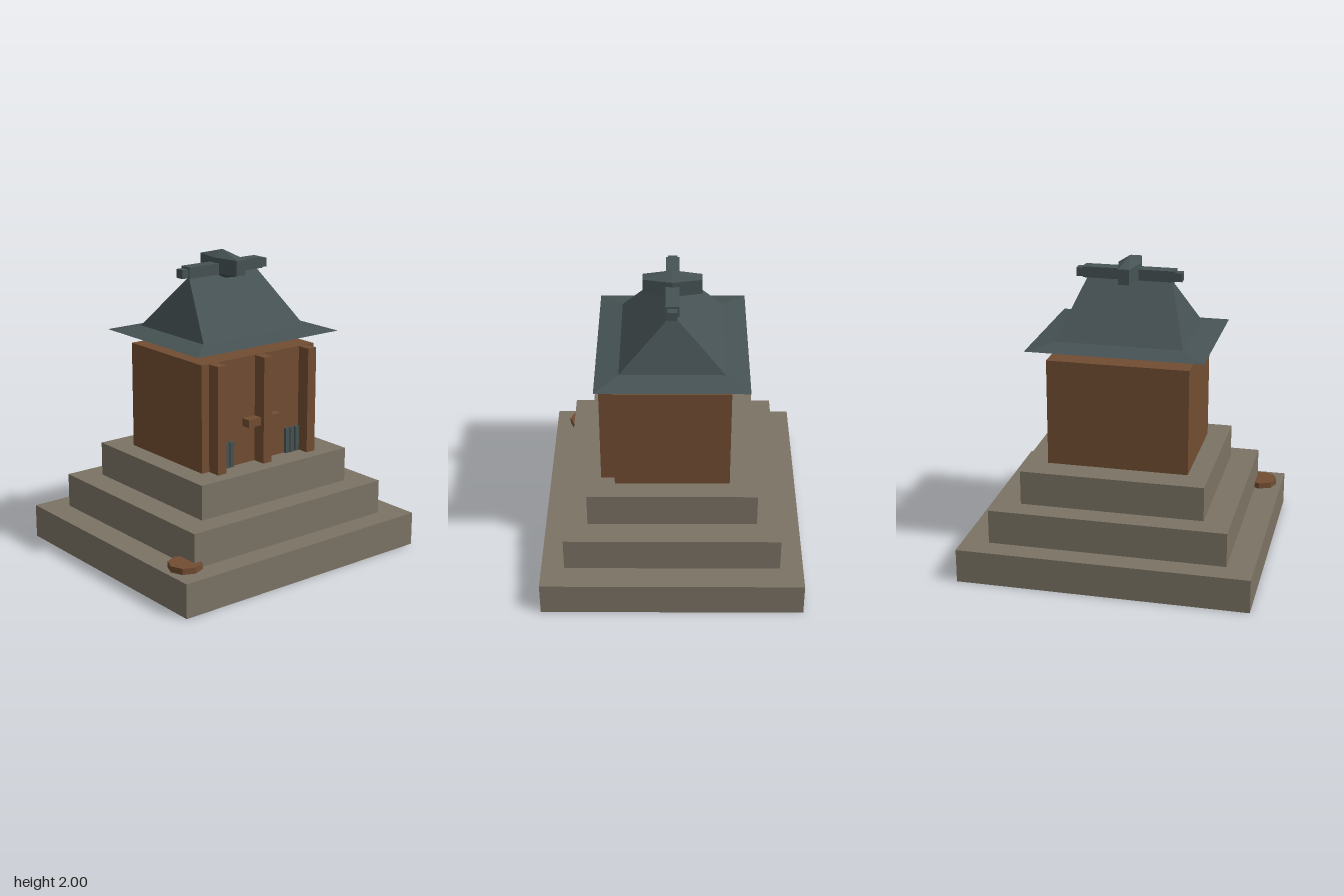
import * as THREE from 'three';
import { ConvexGeometry } from 'three/addons/geometries/ConvexGeometry.js';

function makeMaterial(name, color) {
  const m = new THREE.MeshStandardMaterial({ color, flatShading: true, side: THREE.DoubleSide });
  m.name = name;
  return m;
}

export function createModel() {
  const group = new THREE.Group();
  const stone = makeMaterial('stone', 0x7b7364);
  const wood = makeMaterial('wood', 0x724d32);
  const tile = makeMaterial('slate tile', 0x465254);

  function add(name, geometry, material) {
    const mesh = new THREE.Mesh(geometry, material);
    mesh.name = name;
    group.add(mesh);
    return mesh;
  }
  // Box given by its limits on each axis
  function box(name, material, [x0, x1], [y0, y1], [z0, z1]) {
    const g = new THREE.BoxGeometry(x1 - x0, y1 - y0, z1 - z0);
    g.translate((x0 + x1) / 2, (y0 + y1) / 2, (z0 + z1) / 2);
    return add(name, g, material);
  }

  // Stepped stone base: shells without a bottom face
  const tiers = [
    ['lowerTier', 0.95, 0.85, 0, 0.223],
    ['middleTier', 0.775, 0.7, 0.223, 0.45],
    ['upperTier', 0.6, 0.55, 0.45, 0.677],
  ];
  for (const [name, x, z, y0, y1] of tiers) {
    const { geometry: g } = box(name, stone, [-x, x], [y0, y1], [-z, z]);
    const index = Array.from(g.index.array);
    index.splice(18, 6);
    g.setIndex(index);
    g.clearGroups();
  }

  // Foundation and buried step under the hall
  box('foundation', stone, [-0.48, 0.48], [0.05, 0.18], [-0.385, 0.4]);
  box('buriedStep', stone, [-0.5, 0.5], [0.09, 0.2], [0.4, 0.6]);

  // Hall with front posts
  box('hall', wood, [-0.462, 0.462], [0.18, 1.38], [-0.372, 0.372]);
  for (const x of [-0.37, 0, 0.37]) {
    box('frontPost', wood, [x - 0.034, x + 0.034], [0.677, 1.378], [0.372, 0.463]);
  }
  box('doorBar', wood, [-0.135, 0.135], [0.928, 0.98], [0.372, 0.435]);

  // Low window slats beside the outer posts
  for (const side of [-1, 1]) {
    for (const x of [0.315, 0.272, 0.233]) {
      box('windowSlat', tile, [side * x - 0.015, side * x + 0.015], [0.677, 0.845], [0.372, 0.392]);
    }
  }

  // Hipped roof: rectangular rings from flared eave up to the ridge
  const rings = [[0.573, 1.467, 0.483], [0.414, 1.497, 0.332], [0.275, 1.85, 0.002]]
    .map(([x, y, z]) => [[-x, y, z], [x, y, z], [x, y, -z], [-x, y, -z]]);
  const corners = [];
  for (let r = 0; r < 2; r++) {
    for (let i = 0; i < 4; i++) {
      const j = (i + 1) % 4;
      const [a, b, c, d] = [rings[r][i], rings[r][j], rings[r + 1][j], rings[r + 1][i]];
      corners.push(...a, ...b, ...c, ...a, ...c, ...d);
    }
  }
  const roof = new THREE.BufferGeometry();
  roof.setAttribute('position', new THREE.Float32BufferAttribute(corners, 3));
  roof.computeVertexNormals();
  add('roof', roof, tile);

  // Ridge beam with stepped ends
  box('ridgeBeam', tile, [-0.3, 0.3], [1.848, 1.92], [-0.043, 0.043]);
  for (const side of [-1, 1]) {
    box('ridgeEnd', tile, [side * 0.32 - 0.026, side * 0.32 + 0.026], [1.85, 1.907], [-0.03, 0.03]);
  }

  // Faceted cross log, thickest at its middle
  const points = [new THREE.Vector3(0, 2, 0), new THREE.Vector3(0, 1.81, 0)];
  for (const sx of [-1, 1]) {
    for (const y of [1.853, 1.953]) {
      points.push(new THREE.Vector3(sx * 0.074, y, 0));
      for (const sz of [-1, 1]) points.push(new THREE.Vector3(sx * 0.036, y, sz * 0.187));
    }
  }
  add('crossLog', new ConvexGeometry(points), tile);

  // Stump at the front corner
  add('stump', new THREE.CylinderGeometry(0.107, 0.115, 0.25, 8), wood).position.set(-0.807, 0.137, 0.648);

  return group;
}
